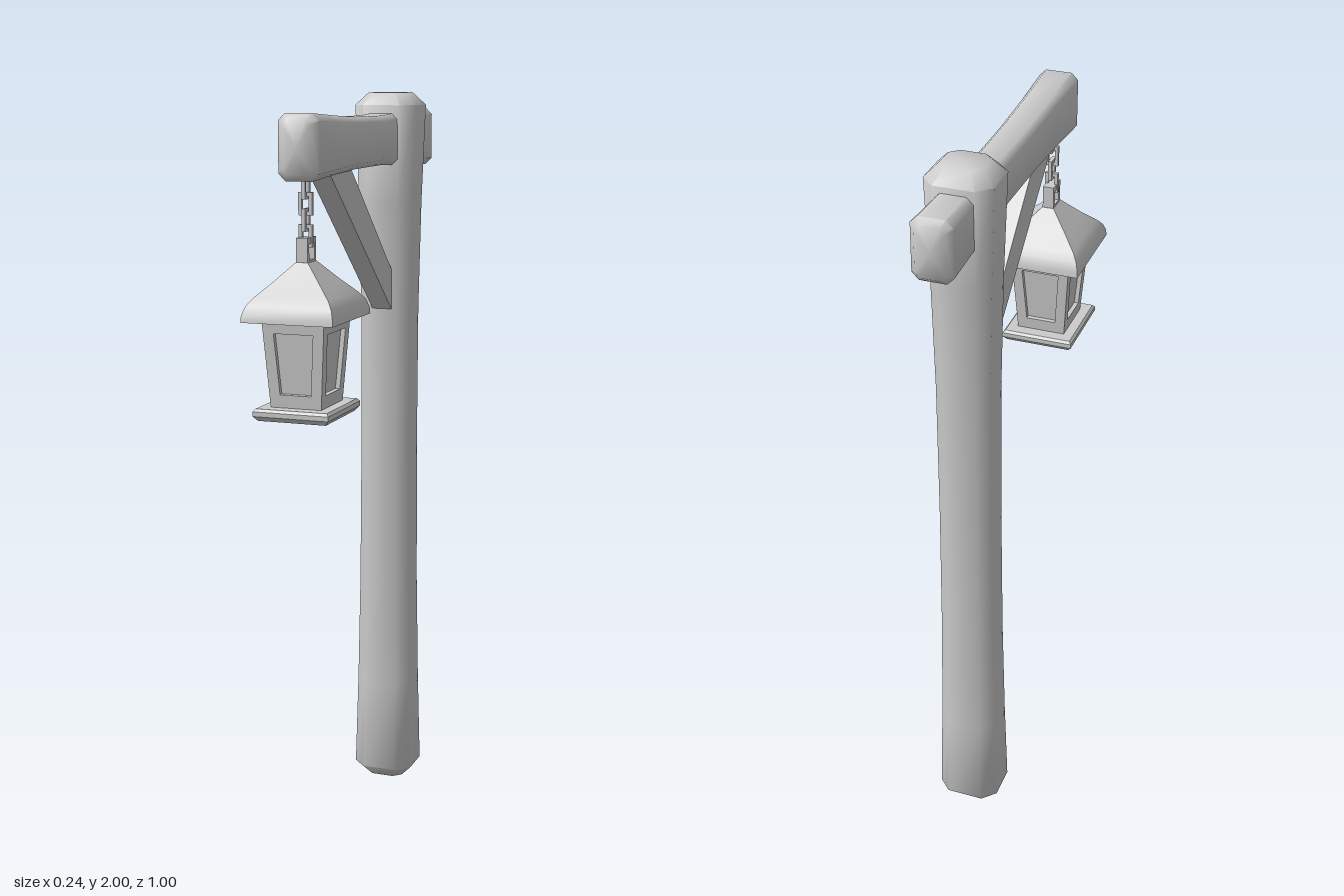
import * as THREE from 'three';
import { toCreasedNormals } from 'three/addons/utils/BufferGeometryUtils.js';

const material = new THREE.MeshStandardMaterial({ color: 0xcccccc });

function addMesh(parent, name, geometry, x = 0, y = 0, z = 0) {
  const mesh = new THREE.Mesh(geometry, material);
  mesh.name = name;
  mesh.position.set(x, y, z);
  parent.add(mesh);
  return mesh;
}

// Closed loft along y through rectangles with cut corners: [y, halfX, halfZ, cornerCut]
function loft(sections, crease) {
  const rings = sections.map(([y, a, b, c = 0]) => {
    const outline = c > 0
      ? [[a, -b + c], [a, b - c], [a - c, b], [-a + c, b], [-a, b - c], [-a, -b + c], [-a + c, -b], [a - c, -b]]
      : [[a, -b], [a, b], [-a, b], [-a, -b]];
    return outline.map(([x, z]) => [x, y, z]);
  });
  const n = rings[0].length;
  const positions = [];
  const tri = (...pts) => pts.forEach((p) => positions.push(...p));
  for (let j = 0; j < n; j++) {
    const k = (j + 1) % n;
    for (let i = 0; i < rings.length - 1; i++) {
      const lower = rings[i], upper = rings[i + 1];
      tri(lower[j], upper[j], lower[k]);
      tri(lower[k], upper[j], upper[k]);
    }
    const last = rings.length - 1;
    tri([0, sections[0][0], 0], rings[0][j], rings[0][k]);
    tri([0, sections[last][0], 0], rings[last][k], rings[last][j]);
  }
  const geometry = new THREE.BufferGeometry();
  geometry.setAttribute('position', new THREE.Float32BufferAttribute(positions, 3));
  return toCreasedNormals(geometry, crease);
}

const points = (list) => list.map(([x, y]) => new THREE.Vector2(x, y));

// Extruded polygon with an optional hole, centred on its thickness
function plate(outline, hole, depth) {
  const shape = new THREE.Shape(points(outline));
  if (hole) shape.holes.push(new THREE.Path(points(hole)));
  return new THREE.ExtrudeGeometry(shape, { depth, bevelEnabled: false }).translate(0, 0, -depth / 2);
}

const rect = (w, h) => [[-w / 2, -h / 2], [w / 2, -h / 2], [w / 2, h / 2], [-w / 2, h / 2]];
const trapezoid = (bottom, top, y0, y1) => [[-bottom, y0], [bottom, y0], [top, y1], [-top, y1]];

function addLantern(parent) {
  const lantern = new THREE.Group();
  lantern.name = 'lantern';
  lantern.position.z = 0.37;
  parent.add(lantern);

  addMesh(lantern, 'lanternBase', loft([
    [1.21, 0.09, 0.104], [1.222, 0.1, 0.114], [1.234, 0.1, 0.114], [1.241, 0.094, 0.108],
  ], 0.3));
  addMesh(lantern, 'lanternPanes', loft([[1.238, 0.055, 0.063], [1.46, 0.07, 0.081]], 0.3));

  // Four tapered window frames
  const bottomHalf = [0.067, 0.075], topHalf = [0.082, 0.093];
  const y0 = 1.238, height = 0.222, thickness = 0.014;
  for (let i = 0; i < 4; i++) {
    const across = i % 2, out = 1 - across;
    const wb = bottomHalf[across], wt = topHalf[across];
    const frame = plate(
      trapezoid(wb, wt, 0, height),
      trapezoid(wb - 0.026, wt - 0.03, 0.036, 0.19),
      thickness,
    ).translate(0, 0, -thickness / 2);
    frame.rotateX(Math.atan((topHalf[out] - bottomHalf[out]) / height));
    frame.translate(0, y0, bottomHalf[out]).rotateY(i * Math.PI / 2);
    addMesh(lantern, 'lanternFrame', frame);
  }

  // Roof with rounded eaves and sharp hips
  addMesh(lantern, 'lanternRoof', loft([
    [1.457, 0.12, 0.135], [1.474, 0.119, 0.133], [1.496, 0.112, 0.122], [1.515, 0.098, 0.105],
    [1.552, 0.06, 0.068], [1.597, 0.016, 0.03],
  ], 0.7));

  // Hanger ring and chain
  addMesh(lantern, 'lanternHanger',
    plate(rect(0.058, 0.07), rect(0.034, 0.04), 0.03).rotateY(Math.PI / 2), 0, 1.622, 0);
  for (let i = 0; i < 4; i++) {
    const link = plate(rect(0.036, 0.056), rect(0.018, 0.036), 0.01);
    if (i % 2) link.rotateY(Math.PI / 2);
    addMesh(lantern, 'chainLink', link, 0, 1.66 + i * 0.039, 0);
  }
}

export function createModel() {
  const model = new THREE.Group();
  model.name = 'lanternPost';

  // Post, flared at both ends
  addMesh(model, 'post', loft([
    [0, 0.054, 0.05, 0.022], [0.034, 0.086, 0.081, 0.035], [0.3, 0.079, 0.075, 0.032],
    [0.6, 0.074, 0.07, 0.03], [1.0, 0.071, 0.068, 0.028], [1.4, 0.072, 0.068, 0.028],
    [1.7, 0.078, 0.074, 0.032], [1.966, 0.087, 0.082, 0.035], [2, 0.054, 0.05, 0.022],
  ], 1.0), 0, 0, -0.27);

  // Cross beam, slimmer in the middle
  addMesh(model, 'beam', loft([
    [-0.5, 0.037, 0.065, 0.012], [-0.483, 0.052, 0.08, 0.018], [-0.3, 0.048, 0.073, 0.016],
    [-0.1, 0.045, 0.065, 0.015], [0.1, 0.046, 0.066, 0.015], [0.25, 0.048, 0.072, 0.016],
    [0.415, 0.053, 0.081, 0.018], [0.432, 0.037, 0.065, 0.012],
  ], 1.0).rotateX(Math.PI / 2), 0, 1.875, 0);

  // Diagonal brace between beam and post
  const brace = plate([[-0.23, 1.385], [0.29, 1.816], [0.13, 1.816], [-0.23, 1.489 + 0.004]], null, 0.056);
  addMesh(model, 'brace', brace.rotateY(-Math.PI / 2));

  addLantern(model);
  return model;
}
